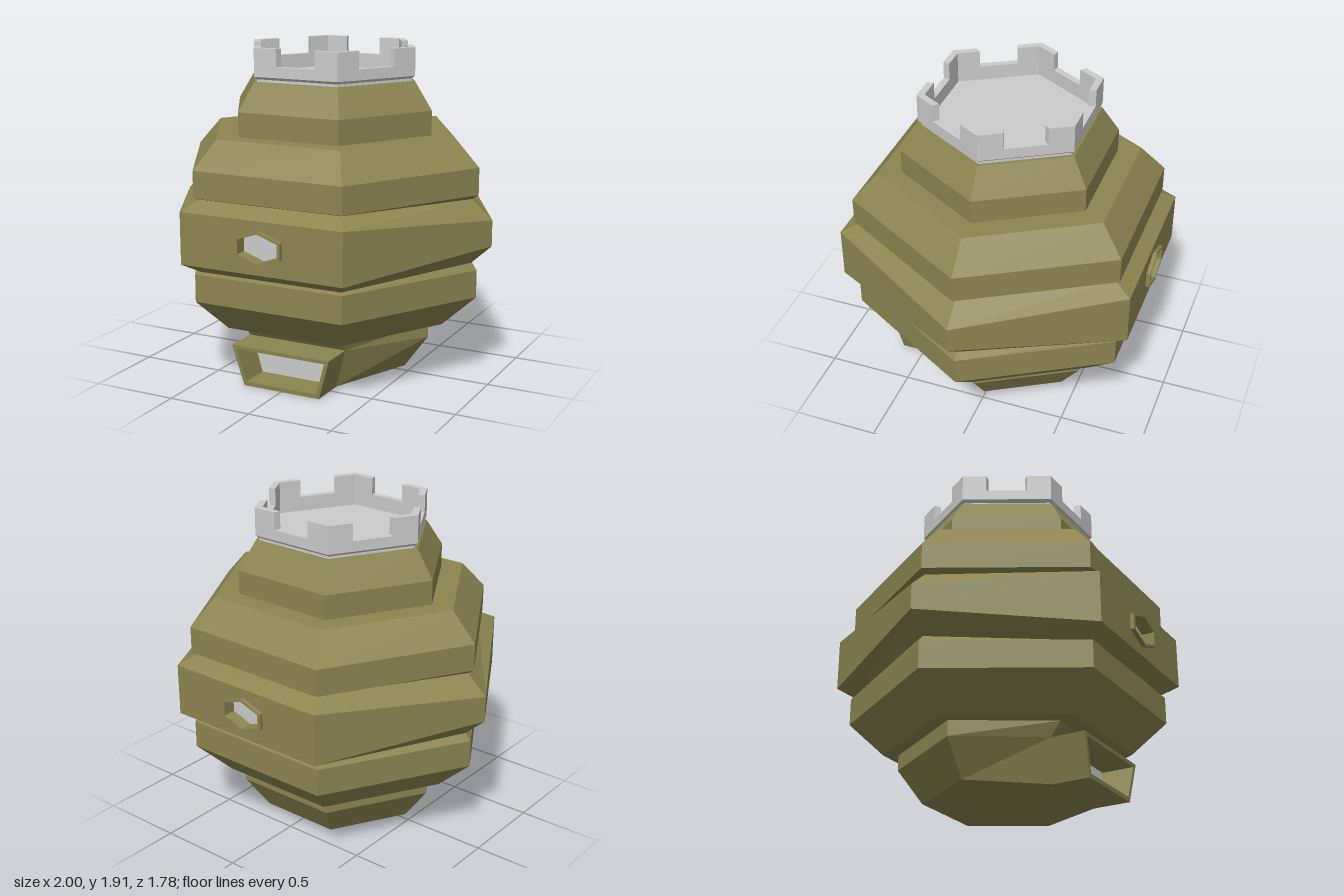
import * as THREE from 'three';

const olive = new THREE.MeshStandardMaterial({ color: 0x8c8550, flatShading: true });
const grey = new THREE.MeshStandardMaterial({ color: 0xcccccc, flatShading: true });

// Six corners of a hexagon; side corners sit at y, front and back corners at yEnd.
function hexRing([r, y, yEnd = y]) {
  return Array.from({ length: 6 }, (_, k) => {
    const a = (k * Math.PI) / 3;
    return [r * Math.cos(a), k % 3 ? yEnd : y, r * Math.sin(a)];
  });
}

// Flat-faced skin through hexagonal rings; skip(level, side) leaves a face open.
function loft(name, rings, material, skip = () => false) {
  const pos = [];
  for (let i = 0; i < rings.length - 1; i++) {
    for (let k = 0; k < 6; k++) {
      if (skip(i, k)) continue;
      const n = (k + 1) % 6;
      const a = rings[i][n], b = rings[i][k], c = rings[i + 1][k], d = rings[i + 1][n];
      pos.push(...a, ...b, ...c, ...a, ...c, ...d);
    }
  }
  const g = new THREE.BufferGeometry();
  g.setAttribute('position', new THREE.Float32BufferAttribute(pos, 3));
  g.computeVertexNormals();
  return named(name, g, material);
}

function named(name, geometry, material) {
  const m = new THREE.Mesh(geometry, material);
  m.name = name;
  return m;
}

const points = (list) => list.map(([x, y]) => new THREE.Vector2(x, y));

function frameShape(outer, inner) {
  const s = new THREE.Shape(points(outer));
  s.holes.push(new THREE.Path(points(inner)));
  return s;
}

const extrude = (shape, depth) => new THREE.ExtrudeGeometry(shape, { depth, bevelEnabled: false });

// Upright hexagon outline of the windows.
const windowOutline = (w, h) => {
  const cy = 0.892, s = h * 0.48;
  return [[0, cy + h], [-w, cy + s], [-w, cy - s], [0, cy - h], [w, cy - s], [w, cy + s]];
};

// Middle-band face with a recessed window.
function windowSide(name) {
  const g = new THREE.Group();
  g.name = name;
  const outer = windowOutline(0.14, 0.098);
  const inner = windowOutline(0.122, 0.083);
  const face = new THREE.ShapeGeometry(
    frameShape([[-0.5, 0.74], [0.5, 0.74], [0.5, 1.04], [-0.5, 1.04]], outer));
  face.translate(0, 0, 0.866);
  const frame = extrude(frameShape(outer, inner), 0.08);
  frame.translate(0, 0, 0.81);
  const pane = new THREE.ShapeGeometry(new THREE.Shape(points(inner)));
  pane.translate(0, 0, 0.815);
  g.add(named('bandFace', face, olive), named('windowFrame', frame, olive), named('windowPane', pane, grey));
  return g;
}

// Hood around the entrance, tapering toward the ground.
function entrance() {
  const g = new THREE.Group();
  g.name = 'entrance';
  const outer = [[-0.24, 0], [0.24, 0], [0.31, 0.237], [-0.31, 0.237]];
  const inner = [[-0.224, 0.025], [0.224, 0.025], [0.28, 0.216], [-0.28, 0.216]];
  const hood = extrude(frameShape(outer, inner), 0.22);
  hood.translate(0, 0, 0.42);
  const p = hood.attributes.position;
  for (let i = 0; i < p.count; i++) p.setZ(i, p.getZ(i) + 0.06 * p.getY(i));
  hood.computeVertexNormals();
  const back = new THREE.ShapeGeometry(new THREE.Shape(points(inner)));
  back.translate(0, 0, 0.46);
  g.add(named('entranceHood', hood, olive), named('entranceBack', back, grey));
  return g;
}

// Parapet on the rim: one angled block per corner.
function battlements() {
  const g = new THREE.Group();
  g.name = 'battlements';
  const R = 0.52, t = 0.27, k = 0.475 / R;
  const ex = R * (1 - t / 2), ey = R * t * Math.sin(Math.PI / 3);
  const shape = new THREE.Shape(points(
    [[ex, -ey], [R, 0], [ex, ey], [ex * k, ey * k], [R * k, 0], [ex * k, -ey * k]]));
  const geo = extrude(shape, 0.1);
  geo.rotateX(-Math.PI / 2);
  for (let i = 0; i < 6; i++) {
    const m = named('battlement', geo, grey);
    m.position.y = 1.81;
    m.rotation.y = (i * Math.PI) / 3;
    g.add(m);
  }
  return g;
}

export function createModel() {
  const model = new THREE.Group();
  model.name = 'hexagonalHive';

  // Base, its front drawn back behind the entrance
  const base = [[0, 0.02], [0.48, 0.03], [0.625, 0.23], [0.625, 0.32]].map(hexRing);
  const front = [null, [0.24, 0, 0.42], [0.31, 0.237, 0.45], [0.31, 0.32, 0.51]];
  front.forEach((f, i) => {
    if (!f) return;
    base[i][1] = f;
    base[i][2] = [-f[0], f[1], f[2]];
  });
  model.add(loft('base', base, olive));

  // Stacked tiers
  model.add(loft('lowerTier',
    [[0, 0.32], [0.71, 0.32], [0.915, 0.51], [0.915, 0.67]].map(hexRing), olive));
  model.add(loft('middleBand',
    [[0.915, 0.67], [0.88, 0.71, 0.68], [1, 0.82, 0.74], [1, 0.97, 1.04],
      [0.88, 1.08, 1.095], [0.915, 1.105]].map(hexRing),
    olive, (level, side) => level === 2 && side % 3 === 1));
  model.add(loft('upperTier',
    [[0.915, 1.105], [0.915, 1.26], [0.765, 1.42], [0.625, 1.42]].map(hexRing), olive));
  model.add(loft('neck',
    [[0.625, 1.42], [0.625, 1.56], [0.52, 1.72], [0.49, 1.72]].map(hexRing), olive));

  // Windows on front and back
  const backWindow = windowSide('backWindow');
  backWindow.rotation.y = Math.PI;
  model.add(windowSide('frontWindow'), backWindow, entrance());

  // Crown: collar, rim, sunken floor and battlements
  model.add(loft('crown',
    [[0.5, 1.72], [0.5, 1.735], [0.52, 1.75], [0.52, 1.81], [0.475, 1.81],
      [0.475, 1.725], [0, 1.725]].map(hexRing), grey));
  model.add(battlements());
  return model;
}
